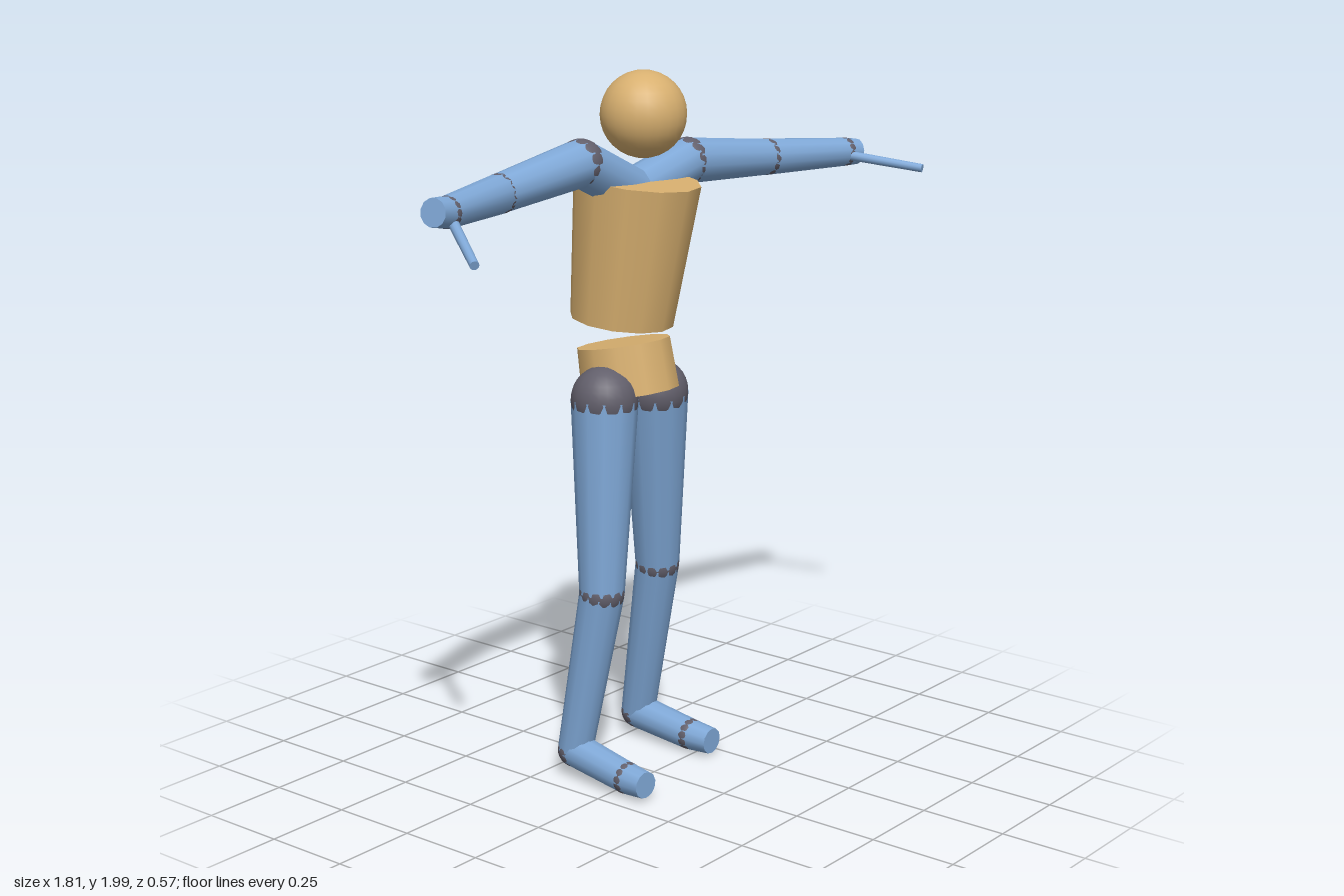
import * as THREE from 'three';

const mat = (name, color) => {
  const m = new THREE.MeshStandardMaterial({ color });
  m.name = name;
  return m;
};

export function createModel() {
  const tan = mat('tan body', 0xd8b070);
  const blue = mat('blue limb', 0x80a9d8);
  const grey = mat('grey joint', 0x625f6b);
  const model = new THREE.Group();
  model.name = 'jointedFigure';

  const ball = (name, c, r, material, parent = model) => {
    const mesh = new THREE.Mesh(new THREE.SphereGeometry(r, 24, 16), material);
    mesh.name = name;
    mesh.position.set(...c);
    parent.add(mesh);
  };

  // Tapered twelve-sided cylinder running from point a to point b
  const bone = (name, a, b, ra, rb, material, parent = model) => {
    const start = new THREE.Vector3(...a), end = new THREE.Vector3(...b);
    const dir = end.clone().sub(start);
    const mesh = new THREE.Mesh(new THREE.CylinderGeometry(rb, ra, dir.length(), 12), material);
    mesh.name = name;
    mesh.position.copy(start).lerp(end, 0.5);
    mesh.quaternion.setFromUnitVectors(new THREE.Vector3(0, 1, 0), dir.normalize());
    parent.add(mesh);
  };

  // Chain of bones with a grey ball at each inner joint
  const limb = (name, parts, joints, points, radii, firstJoint) => {
    const group = new THREE.Group();
    group.name = name;
    parts.forEach((part, i) => {
      bone(part, points[i], points[i + 1], radii[i], radii[i + 1], blue, group);
      if (i >= firstJoint) ball(joints[i], points[i], radii[i], grey, group);
    });
    model.add(group);
  };

  // Head, torso and pelvis
  ball('head', [0.016, 1.88, -0.05], 0.118, tan);
  bone('torso', [0, 1.312, -0.115], [0.014, 1.705, -0.07], 0.144, 0.176, tan);
  bone('pelvis', [-0.005, 1.113, -0.08], [-0.005, 1.25, -0.105], 0.137, 0.131, tan);

  // Arms, from the base of the neck out to the hand
  const armParts = ['collar', 'upperArm', 'forearm', 'hand'];
  const armJoints = ['neckJoint', 'shoulder', 'elbow', 'wrist'];
  const armRadii = [0.065, 0.065, 0.052, 0.041, 0.037];
  const neck = [0.01, 1.667, -0.08];
  limb('rightArm', armParts, armJoints,
    [neck, [-0.205, 1.769, -0.084], [-0.515, 1.727, -0.09], [-0.78, 1.72, -0.025], [-0.84, 1.728, -0.013]],
    armRadii, 1);
  limb('leftArm', armParts, armJoints,
    [neck, [0.25, 1.725, -0.084], [0.557, 1.705, -0.035], [0.836, 1.695, 0.043], [0.878, 1.693, 0.057]],
    armRadii, 1);

  // Thin fingers
  bone('rightFinger', [-0.775, 1.697, -0.01], [-0.895, 1.628, 0.172], 0.014, 0.012, blue);
  bone('leftFinger', [0.82, 1.69, 0.045], [0.89, 1.662, 0.278], 0.014, 0.012, blue);

  // Legs, from hip to toe tip
  const legParts = ['thigh', 'shin', 'foot', 'toes'];
  const legJoints = ['hip', 'knee', 'ankle', 'toeJoint'];
  const legRadii = [0.093, 0.063, 0.05, 0.045, 0.038];
  limb('rightLeg', legParts, legJoints,
    [[-0.122, 1.115, -0.075], [-0.15, 0.57, -0.065], [-0.152, 0.082, -0.165], [-0.172, 0.055, 0.04], [-0.181, 0.055, 0.115]],
    legRadii, 0);
  limb('leftLeg', legParts, legJoints,
    [[0.091, 1.1, -0.07], [0.164, 0.57, -0.12], [0.217, 0.072, -0.235], [0.205, 0.052, -0.03], [0.204, 0.05, 0.05]],
    legRadii, 0);

  return model;
}
